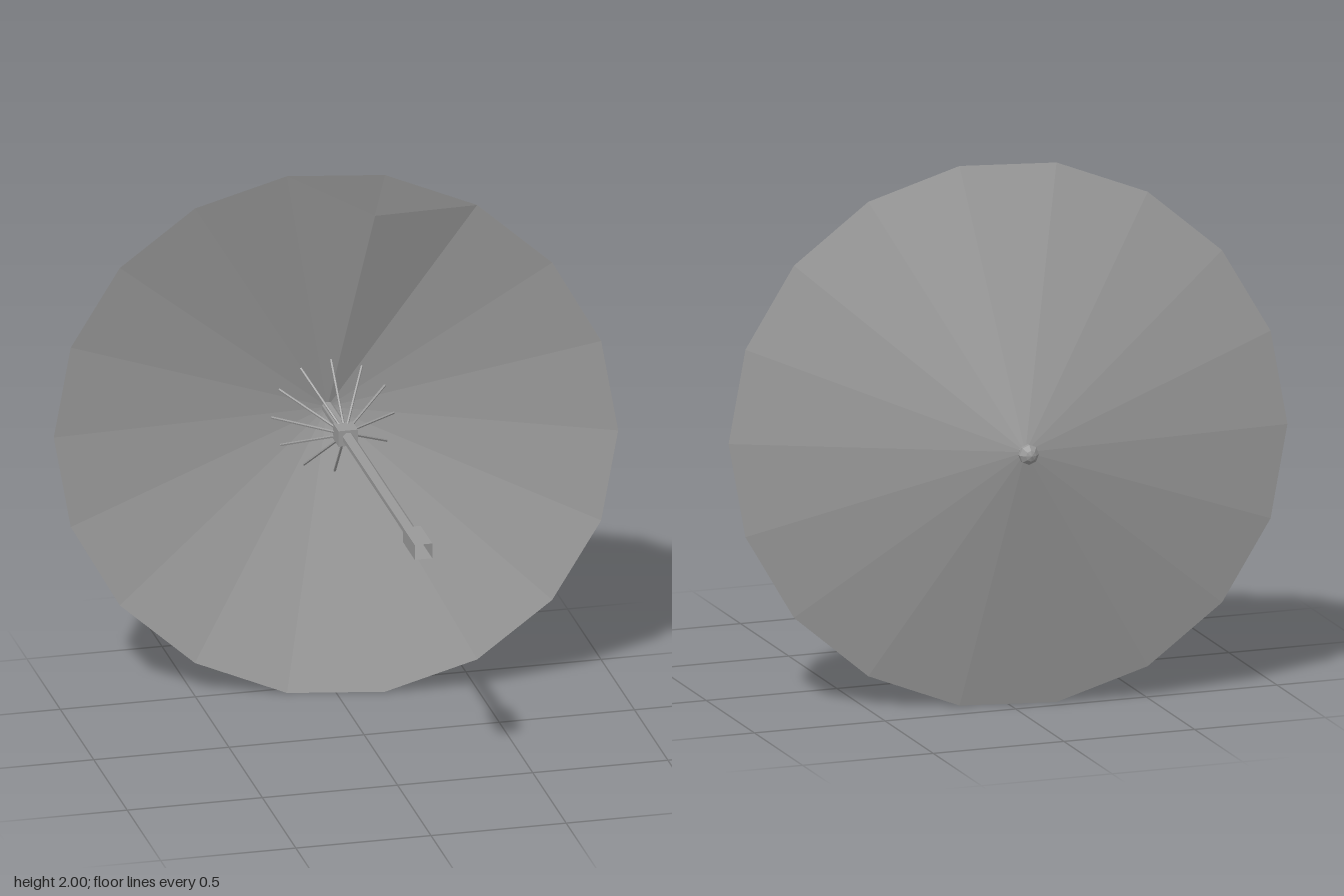
import * as THREE from 'three';

const CX = 0.033, CY = 1; // axis of the pole, which runs along z
const material = new THREE.MeshStandardMaterial({ color: 0x999999, flatShading: true, side: THREE.DoubleSide });

function add(group, name, geometry) {
  const mesh = new THREE.Mesh(geometry, material);
  mesh.name = name;
  group.add(mesh);
  return mesh;
}

// Fan of flat panels between an apex and a closed rim
function fan(apex, rim, facesFront) {
  const points = [];
  rim.forEach((p, i) => {
    const q = rim[(i + 1) % rim.length];
    points.push(apex, ...(facesFront ? [p, q] : [q, p]));
  });
  const geometry = new THREE.BufferGeometry().setFromPoints(points);
  geometry.computeVertexNormals();
  return geometry;
}

// Prism or tube along z between two depths
function alongZ(radius, z0, z1, sides, turn = 0, open = false) {
  return new THREE.CylinderGeometry(radius, radius, z1 - z0, sides, 1, open)
    .rotateY(turn).rotateX(Math.PI / 2).translate(CX, CY, (z0 + z1) / 2);
}

export function createModel() {
  const group = new THREE.Group();
  group.name = 'parasol';

  // Tilted rim of eighteen points
  const rim = [];
  for (let i = 0; i < 18; i++) {
    const a = i * Math.PI / 9;
    rim.push(new THREE.Vector3(0.992 * Math.cos(a), CY + 1.0154 * Math.sin(a), -0.42 + 0.21 * Math.cos(a)));
  }
  add(group, 'canopyOuter', fan(new THREE.Vector3(CX, CY, -0.69), rim, false));

  // Lining, with one loose corner that hangs inward
  const liningRim = rim.map((p) => p.clone());
  liningRim[4].set(0.13, 1.855, -0.36);
  add(group, 'canopyLining', fan(new THREE.Vector3(CX, CY, -0.682), liningRim, true));

  // Pole and the sliding hub
  add(group, 'pole', alongZ(0.022, -0.69, 0.59, 8, Math.PI / 8));
  const hub = add(group, 'hub', new THREE.BoxGeometry(0.072, 0.06, 0.08));
  hub.position.set(CX, CY, -0.41);

  // Square grip, open at the end
  const grip = alongZ(0.5 * Math.SQRT2, 0.58, 0.755, 4, Math.PI / 4, true);
  grip.translate(-CX, -CY, 0).scale(0.065, 0.057, 1).translate(CX, CY, 0);
  add(group, 'grip', grip);
  const gripBase = add(group, 'gripBase', new THREE.BoxGeometry(0.064, 0.056, 0.006));
  gripBase.position.set(CX, CY, 0.583);

  // Twelve thin ribs from the hub, tilted with the canopy and ending just short of the lining
  const ribs = new THREE.Group();
  ribs.name = 'ribs';
  for (let i = 0; i < 12; i++) {
    const a = i * Math.PI / 6 + 0.03;
    const at = (r, z) => new THREE.Vector3(CX + r * Math.cos(a), CY + r * Math.sin(a), z);
    const path = new THREE.LineCurve3(at(0.03, -0.44), at(0.215, -0.6 + 0.045 * Math.cos(a)));
    add(ribs, 'rib', new THREE.TubeGeometry(path, 1, 0.005, 5));
  }
  group.add(ribs);

  // Faceted finial behind the canopy
  const profile = [[0, 0], [0.02, 0], [0.02, 0.014], [0.037, 0.029], [0.037, 0.044], [0.02, 0.063], [0, 0.07]]
    .map(([r, y]) => new THREE.Vector2(r, y));
  const finial = add(group, 'finial', new THREE.LatheGeometry(profile, 8));
  finial.rotation.x = -Math.PI / 2;
  finial.position.set(CX, CY, -0.687);

  return group;
}
